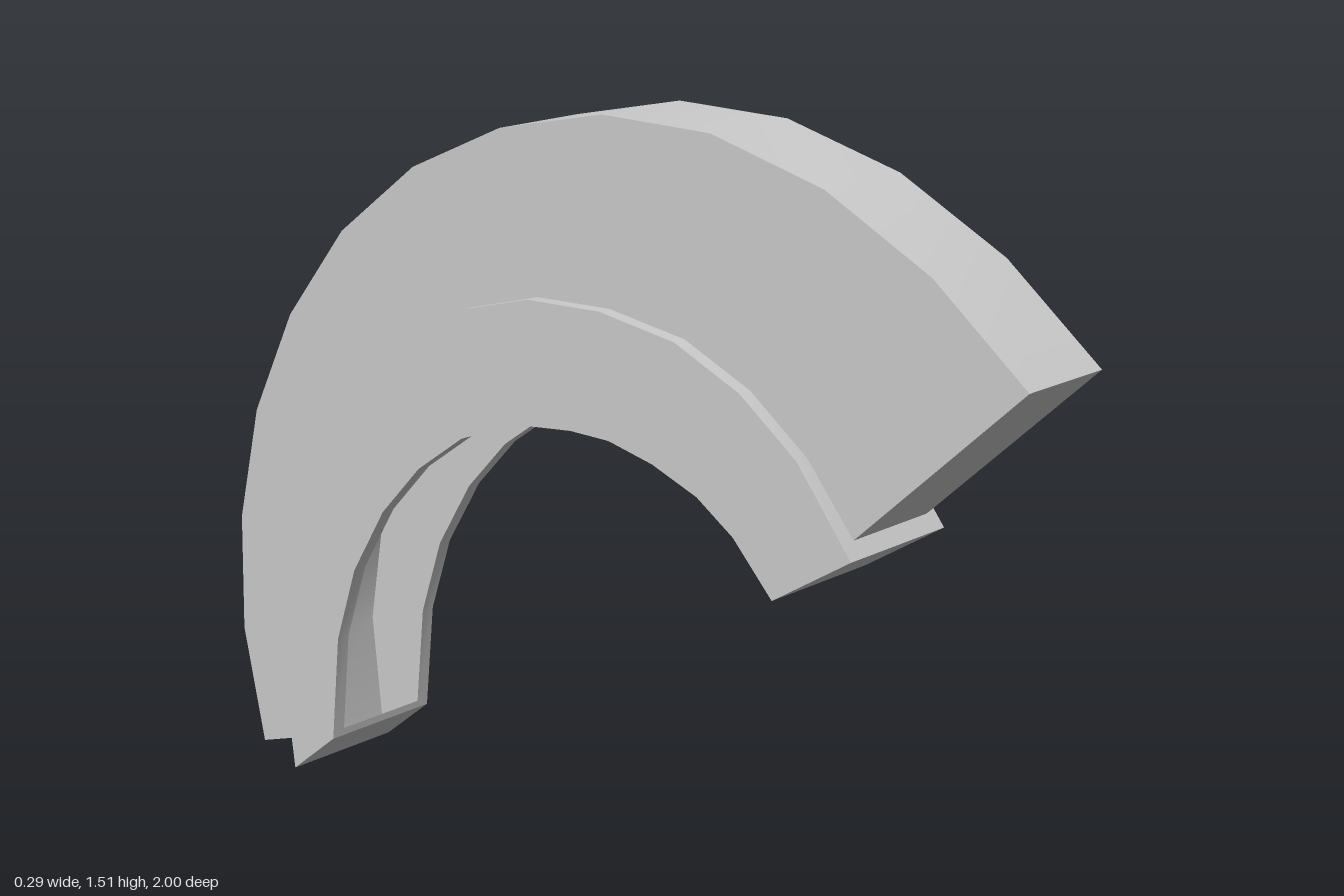
import * as THREE from 'three';
import { toCreasedNormals } from 'three/addons/utils/BufferGeometryUtils.js';

// Side-on curves as [z, y], running from the front end over the top to the back end
const outerCurve = [[1, 1.15], [0.8, 1.316], [0.57, 1.438], [0.316, 1.507], [0.06, 1.513], [-0.198, 1.46],
  [-0.433, 1.358], [-0.642, 1.203], [-0.807, 1.005], [-0.925, 0.78], [-0.99, 0.53], [-1, 0.273], [-0.95, 0.021]];
const rimCurve = [[0.663, 0.79], [0.54, 0.952], [0.41, 1.053], [0.257, 1.123], [0.075, 1.152], [-0.107, 1.147],
  [-0.283, 1.1], [-0.46, 1.0], [-0.604, 0.872], [-0.733, 0.695], [-0.813, 0.497], [-0.85, 0.273], [-0.82, 0]];
const innerCurve = [[0.487, 0.679], [0.396, 0.78], [0.31, 0.84], [0.203, 0.882], [0.096, 0.907], [0, 0.909],
  [-0.144, 0.895], [-0.289, 0.84], [-0.412, 0.754], [-0.519, 0.642], [-0.61, 0.497], [-0.668, 0.332], [-0.695, 0.1]];

const mix = (a, b, t) => [a[0] + (b[0] - a[0]) * t, a[1] + (b[1] - a[1]) * t];
const mixCurves = (a, b, t) => a.map((p, i) => mix(p, b[i], t));

const material = new THREE.MeshStandardMaterial({ color: 0xcccccc });
// The arch leans very slightly sideways
const lean = new THREE.Matrix4().set(1, -0.012, 0.012, 0.008, 0, 1, 0, 0, 0, 0, 1, 0, 0, 0, 0, 1);

// Solid between two side-on curves, spanning x0 to x1
function band(name, low, high, x0, x1) {
  const outline = [...low, ...[...high].reverse()].map(([z, y]) => new THREE.Vector2(z, y));
  const extruded = new THREE.ExtrudeGeometry(new THREE.Shape(outline), { depth: x1 - x0, bevelEnabled: false });
  extruded.rotateY(-Math.PI / 2).translate(x1, 0, 0).applyMatrix4(lean);
  const mesh = new THREE.Mesh(toCreasedNormals(extruded, 0.6), material);
  mesh.name = name;
  return mesh;
}

export function createModel() {
  const group = new THREE.Group();
  group.name = 'archedGuard';
  const bodyHalf = 0.109, rimHalf = 0.139;

  // Thick outer arch, its ends stopping just short of the rim ends
  const bodyInner = [...rimCurve];
  bodyInner[0] = [0.645, 0.82];
  bodyInner[bodyInner.length - 1] = [-0.828, 0.06];
  group.add(band('outerArch', bodyInner, outerCurve, -bodyHalf, bodyHalf));

  // Wider inner rim: two side walls with a channel open towards the inside
  group.add(band('rimWallLeft', innerCurve, rimCurve, bodyHalf, rimHalf));
  group.add(band('rimWallRight', innerCurve, rimCurve, -rimHalf, -bodyHalf));
  group.add(band('channelFloor', mixCurves(innerCurve, rimCurve, 0.87), rimCurve, -bodyHalf, bodyHalf));

  // Thin walls closing the channel at both ends
  const last = rimCurve.length - 1;
  const capEdge = (curve, end, next) => [curve[end], mix(curve[end], curve[next], 0.07)];
  for (const [name, end, next] of [['frontEndWall', 0, 1], ['backEndWall', last, last - 1]]) {
    group.add(band(name, capEdge(innerCurve, end, next), capEdge(rimCurve, end, next), -bodyHalf, bodyHalf));
  }
  return group;
}
